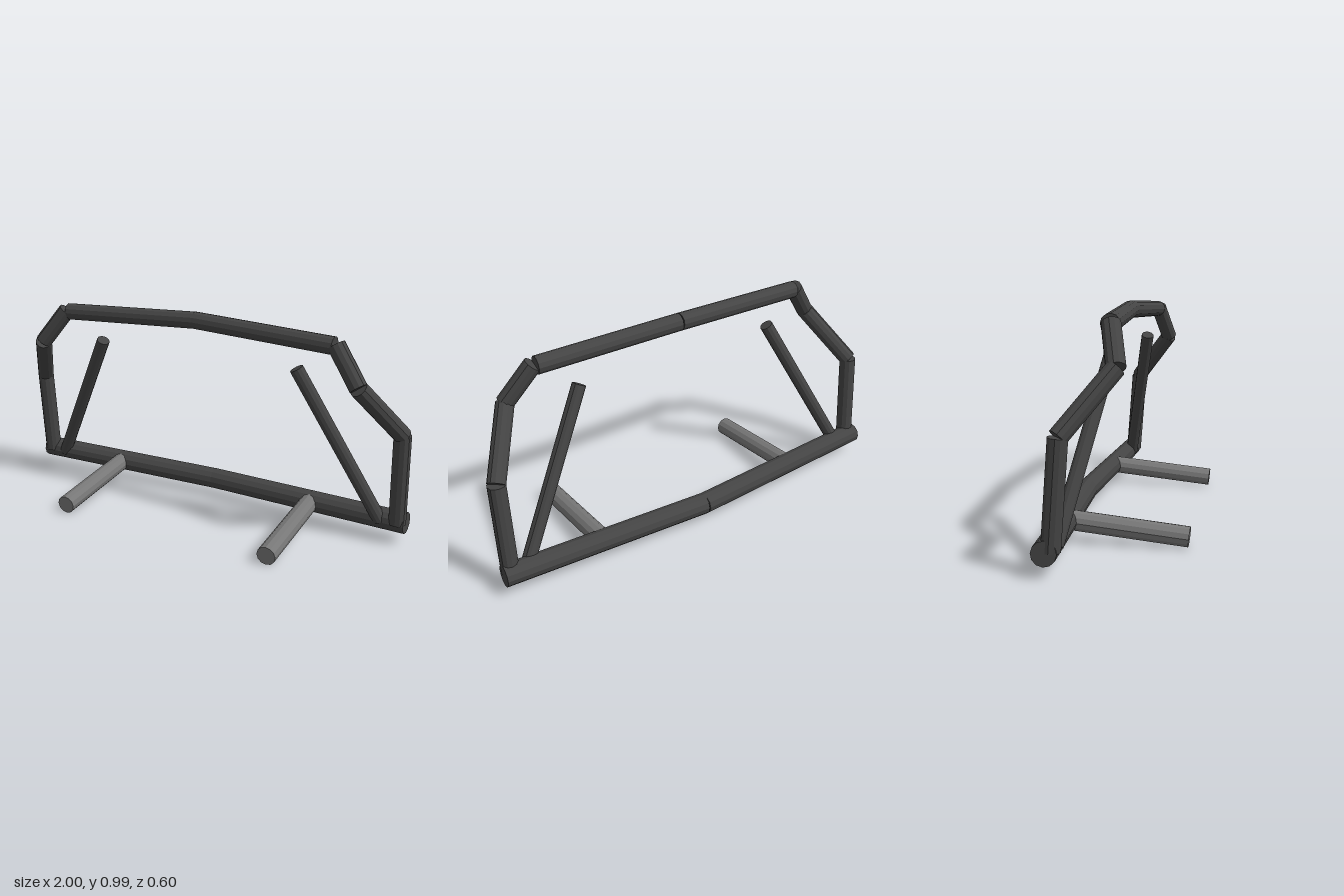
import * as THREE from 'three';

const frameDark = new THREE.MeshStandardMaterial({ color: 0x444444, flatShading: true });
frameDark.name = 'dark frame grey';
const mountGrey = new THREE.MeshStandardMaterial({ color: 0x777777, flatShading: true });
mountGrey.name = 'mount grey';

// Straight capped tube between two points
function tube(name, a, b, radius, material) {
  const start = new THREE.Vector3(...a);
  const dir = new THREE.Vector3(...b).sub(start);
  const mesh = new THREE.Mesh(new THREE.CylinderGeometry(radius, radius, dir.length(), 12), material);
  mesh.position.copy(start).addScaledVector(dir, 0.5);
  mesh.quaternion.setFromUnitVectors(new THREE.Vector3(0, 1, 0), dir.normalize());
  mesh.name = name;
  return mesh;
}

// Tubes of one half: name, start, end, radius, material
const parts = [
  ['lowerBar', [0, 0.09, -0.25], [0.997, 0.1, -0.196], 0.05, frameDark],
  ['upright', [0.96, 0.1, -0.178], [0.96, 0.53, -0.145], 0.04, frameDark],
  ['shoulderTube', [0.96, 0.53, -0.145], [0.81, 0.77, 0.043], 0.04, frameDark],
  ['cornerTube', [0.81, 0.77, 0.043], [0.69, 0.93, 0.002], 0.04, frameDark],
  ['upperBar', [0, 0.95, -0.038], [0.68, 0.925, -0.003], 0.04, frameDark],
  ['diagonalBrace', [0.88, 0.095, -0.178], [0.504, 0.795, -0.031], 0.031, frameDark],
  ['mountingStub', [0.53, 0.095, -0.2], [0.53, 0.045, 0.296], 0.044, mountGrey],
];

export function createModel() {
  const model = new THREE.Group();
  model.name = 'tubularBumper';
  for (const side of [1, -1]) {
    const half = new THREE.Group();
    half.name = side > 0 ? 'leftHalf' : 'rightHalf';
    const mirror = ([x, y, z]) => [x * side, y, z];
    for (const [name, a, b, radius, material] of parts) {
      half.add(tube(name, mirror(a), mirror(b), radius, material));
    }
    model.add(half);
  }
  return model;
}
